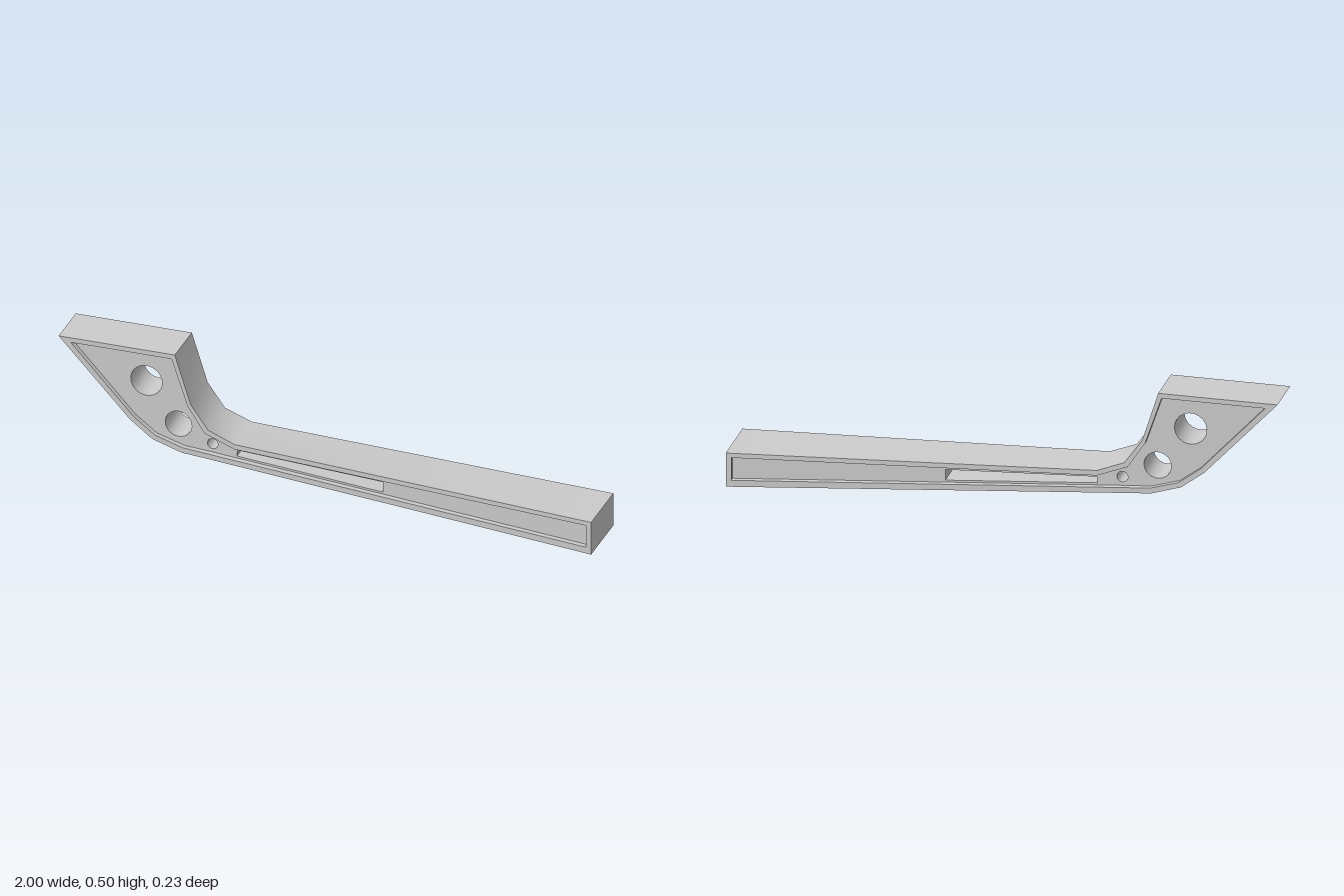
import * as THREE from 'three';
import { toCreasedNormals } from 'three/addons/utils/BufferGeometryUtils.js';

const material = new THREE.MeshStandardMaterial({ color: 0xcccccc });
const RECESS = 0.02; // depth of the side pockets
const BEND = -0.442; // the handle widens from here to its end

// Side profile (x, y), counterclockwise from the tip of the head
const OUTER = [
  [-1, 0.505], [-0.735, 0.221], [-0.65, 0.156], [-0.54, 0.121], [-0.442, 0.113], [1, 0],
  [1, 0.128], [-0.343, 0.189], [-0.442, 0.228], [-0.507, 0.318], [-0.566, 0.505],
];
// Edge of the recessed pocket
const INNER = [
  [-0.955, 0.487], [-0.72, 0.233], [-0.64, 0.173], [-0.537, 0.141], [-0.442, 0.134], [0.98, 0.026],
  [0.98, 0.112], [-0.343, 0.17], [-0.455, 0.213], [-0.518, 0.309], [-0.578, 0.487],
];
// Slot through the handle
const SLOT = [[-0.338, 0.157], [0.21, 0.132], [0.21, 0.092], [-0.34, 0.134]];
// Round holes: x, y, radius
const HOLES = [[-0.679, 0.374, 0.059], [-0.559, 0.223, 0.05], [-0.431, 0.166, 0.02]];

const toPoints = (list) => list.map(([x, y]) => new THREE.Vector2(x, y));

// Half thickness along the length
const halfWidth = (x) => 0.09 + 0.027 * Math.max(0, (x - BEND) / (1 - BEND));

// Extrude a profile, then taper its thickness along x
function taperedPlate(name, shape, inset) {
  const geometry = new THREE.ExtrudeGeometry(shape, { depth: 1, bevelEnabled: false });
  const p = geometry.attributes.position;
  for (let i = 0; i < p.count; i++) {
    p.setZ(i, (p.getZ(i) > 0.5 ? 1 : -1) * (halfWidth(p.getX(i)) - inset));
  }
  const mesh = new THREE.Mesh(toCreasedNormals(geometry, 0.6), material);
  mesh.name = name;
  return mesh;
}

// Points of a round hole, clockwise
function circle([cx, cy, r], sides = 20) {
  return Array.from({ length: sides }, (_, i) => {
    const a = -((i + 0.3) / sides) * Math.PI * 2;
    return new THREE.Vector2(cx + r * Math.cos(a), cy + r * Math.sin(a));
  });
}

export function createModel() {
  const group = new THREE.Group();
  group.name = 'handle';

  // Full-width border
  const rim = new THREE.Shape(toPoints(OUTER));
  rim.holes.push(new THREE.Path(toPoints(INNER)));
  group.add(taperedPlate('rim', rim, 0));

  // Recessed core with round holes and slot
  const core = new THREE.Shape(toPoints(INNER));
  core.holes.push(new THREE.Path(toPoints(SLOT)));
  for (const hole of HOLES) core.holes.push(new THREE.Path(circle(hole)));
  group.add(taperedPlate('core', core, RECESS));

  return group;
}
